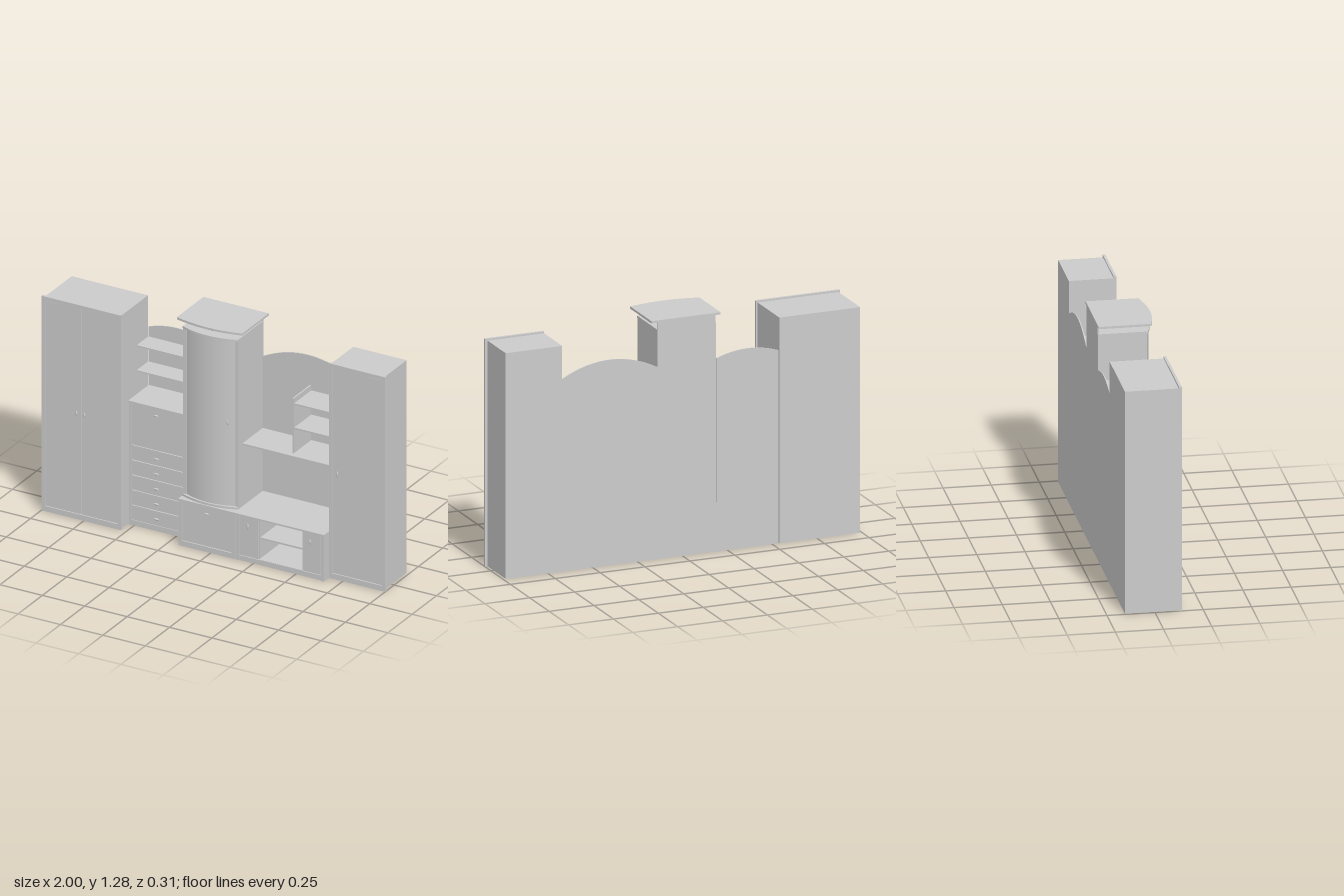
import * as THREE from 'three';

const material = new THREE.MeshStandardMaterial({ color: 0xcccccc });
const BACK = -0.155, T = 0.012;

function add(parent, name, geometry) {
  const mesh = new THREE.Mesh(geometry, material);
  mesh.name = name;
  parent.add(mesh);
  return mesh;
}

function group(parent, name) {
  const g = new THREE.Group();
  g.name = name;
  parent.add(g);
  return g;
}

// box given by its limits on each axis
function slab(parent, name, x0, x1, y0, y1, z0, z1) {
  const mesh = add(parent, name, new THREE.BoxGeometry(x1 - x0, y1 - y0, z1 - z0));
  mesh.position.set((x0 + x1) / 2, (y0 + y1) / 2, (z0 + z1) / 2);
  return mesh;
}

// hollow cabinet body, open at the front and underneath
function carcass(parent, x0, x1, y1, z1) {
  slab(parent, 'rightSide', x0, x0 + T, 0, y1, BACK, z1);
  slab(parent, 'leftSide', x1 - T, x1, 0, y1, BACK, z1);
  slab(parent, 'topPanel', x0 + T, x1 - T, y1 - T, y1, BACK, z1);
  slab(parent, 'backPanel', x0 + T, x1 - T, 0, y1 - T, BACK, BACK + 0.006);
}

// rectangular face frame with one opening
function frame(parent, x0, x1, y1, z0, z1, opening) {
  const [a, b, c, d] = opening;
  const rect = (s, l, r, bo, t) => s.moveTo(l, bo).lineTo(r, bo).lineTo(r, t).lineTo(l, t).closePath();
  const shape = rect(new THREE.Shape(), x0, x1, 0, y1);
  shape.holes.push(rect(new THREE.Path(), a, b, c, d));
  const geo = new THREE.ExtrudeGeometry(shape, { depth: z1 - z0, bevelEnabled: false });
  add(parent, 'faceFrame', geo).position.z = z0;
}

// door or drawer front with a small gap all round
function front(parent, name, x0, x1, y0, y1, z) {
  const gap = 0.002;
  slab(parent, name, x0 + gap, x1 - gap, y0 + gap, y1 - gap, z - 0.012, z);
}

// diamond-like knob on a short stem
function knob(parent, x, y, z, horizontal = false) {
  const g = group(parent, 'knob');
  const stem = add(g, 'knobStem', new THREE.CylinderGeometry(0.003, 0.003, 0.012, 8));
  stem.rotation.x = Math.PI / 2;
  const profile = [[0, -0.018], [0.003, -0.012], [0.0065, 0], [0.003, 0.012], [0, 0.018]];
  const head = add(g, 'knobHead', new THREE.LatheGeometry(profile.map(p => new THREE.Vector2(...p)), 12));
  head.position.z = 0.006;
  if (horizontal) head.rotation.z = Math.PI / 2;
  g.position.set(x, y, z + 0.004);
}

// upright solid whose front, and optionally its back, is bowed
function bowed(parent, name, x0, x1, y0, y1, zBack, zSide, zMid, bowBack = 0) {
  const xm = (x0 + x1) / 2;
  const s = new THREE.Shape();
  s.moveTo(x0, -zBack);
  s.lineTo(x0, -zSide);
  s.quadraticCurveTo(xm, -(2 * zMid - zSide), x1, -zSide);
  s.lineTo(x1, -zBack);
  if (bowBack) s.quadraticCurveTo(xm, -(zBack + 2 * bowBack), x0, -zBack);
  else s.closePath();
  const geo = new THREE.ExtrudeGeometry(s, { depth: y1 - y0, bevelEnabled: false, curveSegments: 24 });
  geo.rotateX(-Math.PI / 2);
  add(parent, name, geo).position.y = y0;
}

// thin wall panel with an arched top
function archedBack(parent, x0, x1, ySide, yMid) {
  const s = new THREE.Shape();
  s.moveTo(x0, 0).lineTo(x1, 0).lineTo(x1, ySide);
  s.quadraticCurveTo((x0 + x1) / 2, 2 * yMid - ySide, x0, ySide);
  const geo = new THREE.ExtrudeGeometry(s, { depth: 0.006, bevelEnabled: false, curveSegments: 24 });
  add(parent, 'archedBack', geo).position.z = BACK;
}

export function createModel() {
  const model = new THREE.Group();
  model.name = 'wallUnit';

  // two-door wardrobe
  const wide = group(model, 'wideWardrobe');
  carcass(wide, -0.99, -0.54, 1.21, 0.125);
  frame(wide, -1, -0.53, 1.22, 0.125, 0.139, [-0.98, -0.55, 0.03, 1.197]);
  front(wide, 'rightDoor', -0.98, -0.765, 0.03, 1.197, 0.136);
  front(wide, 'leftDoor', -0.765, -0.55, 0.03, 1.197, 0.136);
  for (const x of [-0.79, -0.742]) knob(wide, x, 0.605, 0.136);

  // single-door wardrobe
  const narrow = group(model, 'narrowWardrobe');
  carcass(narrow, 0.67, 0.985, 1.21, 0.078);
  frame(narrow, 0.67, 1, 1.22, 0.078, 0.092, [0.687, 0.982, 0.03, 1.197]);
  front(narrow, 'door', 0.687, 0.982, 0.03, 1.197, 0.089);
  knob(narrow, 0.722, 0.605, 0.089);

  // drawer cabinet with fold-down flap
  const chest = group(model, 'drawerCabinet');
  slab(chest, 'rightSide', -0.53, -0.515, 0, 0.695, BACK + 0.01, 0.06);
  slab(chest, 'leftSide', -0.21, -0.195, 0, 0.695, BACK + 0.01, 0.06);
  slab(chest, 'cabinetTop', -0.532, -0.19, 0.695, 0.705, BACK, 0.062);
  slab(chest, 'cabinetBack', -0.515, -0.21, 0, 0.695, BACK + 0.01, BACK + 0.016);
  slab(chest, 'bottomRail', -0.515, -0.21, 0, 0.03, 0.046, 0.058);
  for (let i = 0; i < 5; i++) {
    const y = 0.03 + i * 0.0855;
    front(chest, 'drawerFront', -0.515, -0.21, y, y + 0.0855, 0.058);
    knob(chest, -0.365, y + 0.043, 0.058, true);
  }
  front(chest, 'flap', -0.515, -0.21, 0.4575, 0.695, 0.058);
  knob(chest, -0.365, 0.66, 0.058, true);

  // open shelves above the drawers
  const shelves = group(model, 'openShelves');
  archedBack(shelves, -0.535, -0.19, 1.035, 1.067);
  for (const y of [0.83, 0.972]) slab(shelves, 'shelf', -0.535, -0.19, y, y + 0.008, BACK + 0.006, -0.03);

  // central tower: lower cabinet
  const base = group(model, 'towerBase');
  carcass(base, -0.19, 0.143, 0.255, 0.128);
  slab(base, 'baseTop', -0.19, 0.143, 0.255, 0.265, BACK, 0.145);
  frame(base, -0.19, 0.143, 0.262, 0.128, 0.143, [-0.168, 0.124, 0.03, 0.255]);
  front(base, 'door', -0.168, 0.124, 0.03, 0.255, 0.14);
  knob(base, -0.022, 0.22, 0.14, true);

  // central tower: upper cabinet with bowed door
  const tower = group(model, 'tower');
  slab(tower, 'towerBody', -0.187, 0.14, 0.265, 1.222, BACK, 0.088);
  slab(tower, 'rightStile', -0.187, -0.168, 0.265, 1.222, 0.088, 0.1);
  slab(tower, 'leftStile', 0.122, 0.14, 0.265, 1.222, 0.088, 0.1);
  bowed(tower, 'bowedDoor', -0.165, 0.12, 0.279, 1.217, 0.088, 0.1, 0.132);
  bowed(tower, 'lowerTrim', -0.187, 0.14, 0.265, 0.277, 0.088, 0.105, 0.138);
  bowed(tower, 'upperTrim', -0.187, 0.14, 1.219, 1.23, BACK, 0.105, 0.138);
  knob(tower, 0.085, 0.752, 0.106);

  // raised crown carried by a rear panel and a ball
  const crown = group(model, 'crown');
  slab(crown, 'crownSupport', -0.185, 0.14, 1.23, 1.27, BACK, BACK + 0.007);
  add(crown, 'supportBall', new THREE.SphereGeometry(0.018, 24, 16)).position.set(-0.022, 1.25, 0.078);
  bowed(crown, 'crownPlate', -0.213, 0.173, 1.268, 1.28, BACK, 0.118, 0.145);

  // low media cabinet
  const low = group(model, 'lowCabinet');
  slab(low, 'rightSide', 0.146, 0.167, 0, 0.255, BACK + 0.006, 0.143);
  slab(low, 'leftSide', 0.647, 0.668, 0, 0.255, BACK + 0.006, 0.143);
  slab(low, 'cabinetTop', 0.143, 0.67, 0.255, 0.265, BACK + 0.006, 0.145);
  slab(low, 'bottomRail', 0.167, 0.647, 0, 0.028, 0.127, 0.139);
  for (const x of [0.273, 0.536]) slab(low, 'partition', x, x + 0.01, 0.02, 0.255, BACK + 0.006, 0.128);
  slab(low, 'bayFloor', 0.283, 0.536, 0.02, 0.03, BACK + 0.006, 0.138);
  slab(low, 'bayShelf', 0.283, 0.536, 0.14, 0.15, BACK + 0.006, 0.125);
  front(low, 'rightDoor', 0.167, 0.28, 0.03, 0.255, 0.141);
  front(low, 'leftDoor', 0.538, 0.647, 0.03, 0.255, 0.141);
  for (const x of [0.224, 0.59]) knob(low, x, 0.21, 0.141);

  // arched wall with shelf unit above the low cabinet
  const wall = group(model, 'shelfWall');
  archedBack(wall, 0.14, 0.672, 1.03, 1.102);
  slab(wall, 'longShelf', 0.14, 0.67, 0.613, 0.623, BACK + 0.006, 0.06);
  slab(wall, 'divider', 0.418, 0.426, 0.623, 0.935, BACK + 0.006, 0.03);
  for (const y of [0.758, 0.896]) slab(wall, 'smallShelf', 0.426, 0.67, y, y + 0.01, BACK + 0.006, 0.026);

  return model;
}
